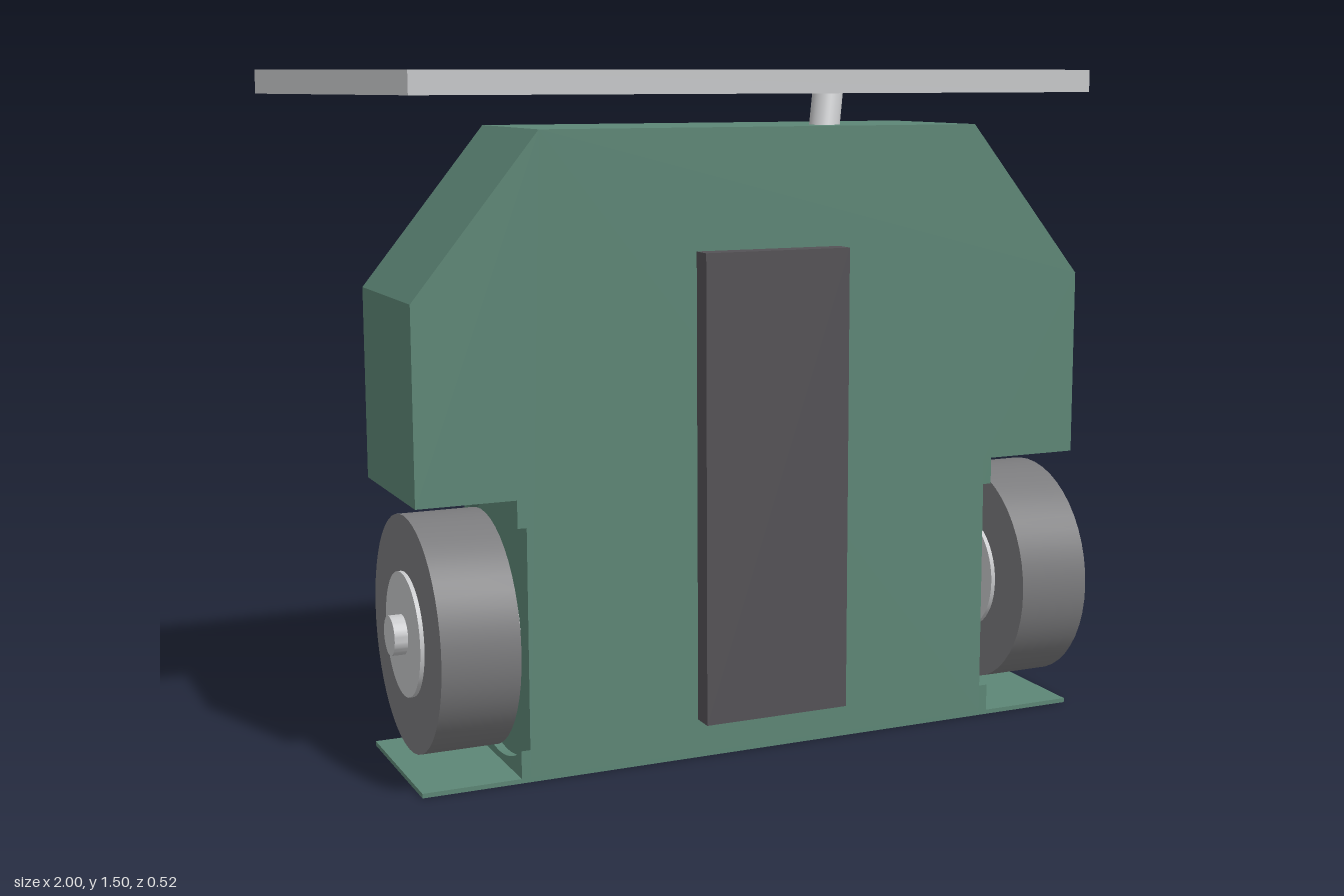
import * as THREE from 'three';
import { toCreasedNormals } from 'three/addons/utils/BufferGeometryUtils.js';

const mat = (name, color) => {
  const m = new THREE.MeshStandardMaterial({ color });
  m.name = name;
  return m;
};

export function createModel() {
  const green = mat('green shell', 0x5d8676);
  const dark = mat('dark panel', 0x545256);
  const rubber = mat('grey rubber', 0x7b7b7d);
  const light = mat('light grey', 0xc7c8ca);

  const model = new THREE.Group();
  model.name = 'wheeledRobot';

  const add = (parent, name, geometry, material, x = 0, y = 0, z = 0) => {
    const mesh = new THREE.Mesh(geometry, material);
    mesh.name = name;
    mesh.position.set(x, y, z);
    parent.add(mesh);
    return mesh;
  };
  const shapeOf = (pts) => new THREE.Shape(pts.map(([x, y]) => new THREE.Vector2(x, y)));
  const extrude = (shape, depth) => new THREE.ExtrudeGeometry(shape, { depth, bevelEnabled: false });

  const BACK = -0.22, FRONT = 0.155, AXLE_Y = 0.313;
  const WALL = 0.555, PAD = 0.575, SIDE = 0.793;

  // Shell outline: floor plate, wheel notches, shoulders and chamfered top
  const half = [[SIDE, 0], [SIDE, 0.01], [WALL, 0.01], [WALL, 0.615],
    [SIDE, 0.615], [SIDE, 1.035], [0.515, 1.38]];
  const outline = [...half, ...half.map(([x, y]) => [-x, y]).reverse()];
  const slotDepth = 0.035;
  add(model, 'shell', extrude(shapeOf(outline), FRONT - BACK - slotDepth), green, 0, 0, BACK + slotDepth);

  // Back skin with a small port cut into it
  const skin = shapeOf(outline);
  skin.holes.push(new THREE.Path([[-0.105, 0.24], [-0.105, 0.31], [0.035, 0.31], [0.035, 0.24]]
    .map(([x, y]) => new THREE.Vector2(x, y))));
  add(model, 'backSkin', extrude(skin, slotDepth), green, 0, 0, BACK);
  add(model, 'portFloor', new THREE.BoxGeometry(0.14, 0.07, 0.008), dark, -0.035, 0.275, BACK + slotDepth - 0.004);

  // Front panel, standing slightly off the shell
  add(model, 'frontPanel', new THREE.BoxGeometry(0.34, 1.03, 0.05), dark, 0, 0.605, 0.19);

  // Pads above and below the round wheel recess, drawn in (-z, y)
  const R = 0.287;
  const arc = (sign) => {
    const a = Math.acos(-FRONT / R), b = Math.acos(-BACK / R);
    return Array.from({ length: 25 }, (_, i) => {
      const t = a + (b - a) * i / 24;
      return [R * Math.cos(t), AXLE_Y + sign * R * Math.sin(t)];
    });
  };
  const padShape = (sign, edgeY) => shapeOf([[-FRONT, edgeY], ...arc(sign), [-BACK, edgeY]]);

  // Cylinder lying along x between two positions
  const drum = (parent, name, r, x0, x1, material) => {
    const g = new THREE.CylinderGeometry(r, r, x1 - x0, 48).rotateZ(Math.PI / 2);
    return add(parent, name, toCreasedNormals(g, 0.6), material, (x0 + x1) / 2, AXLE_Y, 0);
  };

  for (const side of [1, -1]) {
    const prefix = side > 0 ? 'left' : 'right';

    // Recess pads
    const pads = [['Upper', 1, 0.615], ['Lower', -1, 0.01]];
    for (const [label, sign, edgeY] of pads) {
      const g = extrude(padShape(sign, edgeY), PAD - WALL).rotateY(Math.PI / 2);
      add(model, `${prefix}${label}RecessPad`, g, green, side > 0 ? WALL : -PAD);
    }

    // Wheel with hub, axle and motor flange
    const wheel = new THREE.Group();
    wheel.name = `${prefix}Wheel`;
    const span = (name, r, x0, x1, m) =>
      drum(wheel, name, r, side > 0 ? x0 : -x1, side > 0 ? x1 : -x0, m);
    span('tyre', 0.257, 0.605, 0.775, rubber);
    span('hub', 0.135, 0.595, 0.784, light);
    span('axleCap', 0.043, 0.78, 0.813, light);
    span('axle', 0.032, 0.55, 0.6, light);
    span('motorFlange', 0.102, 0.55, 0.568, light);
    model.add(wheel);
  }

  // Tray on top: wide at the back, narrow at the front
  const tray = extrude(shapeOf([[-0.795, -0.188], [0.795, -0.188], [1, 0.26], [-1, 0.26]]), 0.05);
  add(model, 'topTray', tray.rotateX(-Math.PI / 2), light, 0, 1.45, 0);

  // Slanted post holding the tray
  const from = new THREE.Vector3(0.18, 1.33, 0.06), to = new THREE.Vector3(0.217, 1.475, 0.017);
  const dir = to.clone().sub(from);
  const post = add(model, 'trayPost', new THREE.CylinderGeometry(0.034, 0.034, dir.length(), 32), light);
  post.position.copy(from).add(to).multiplyScalar(0.5);
  post.quaternion.setFromUnitVectors(new THREE.Vector3(0, 1, 0), dir.normalize());

  return model;
}
